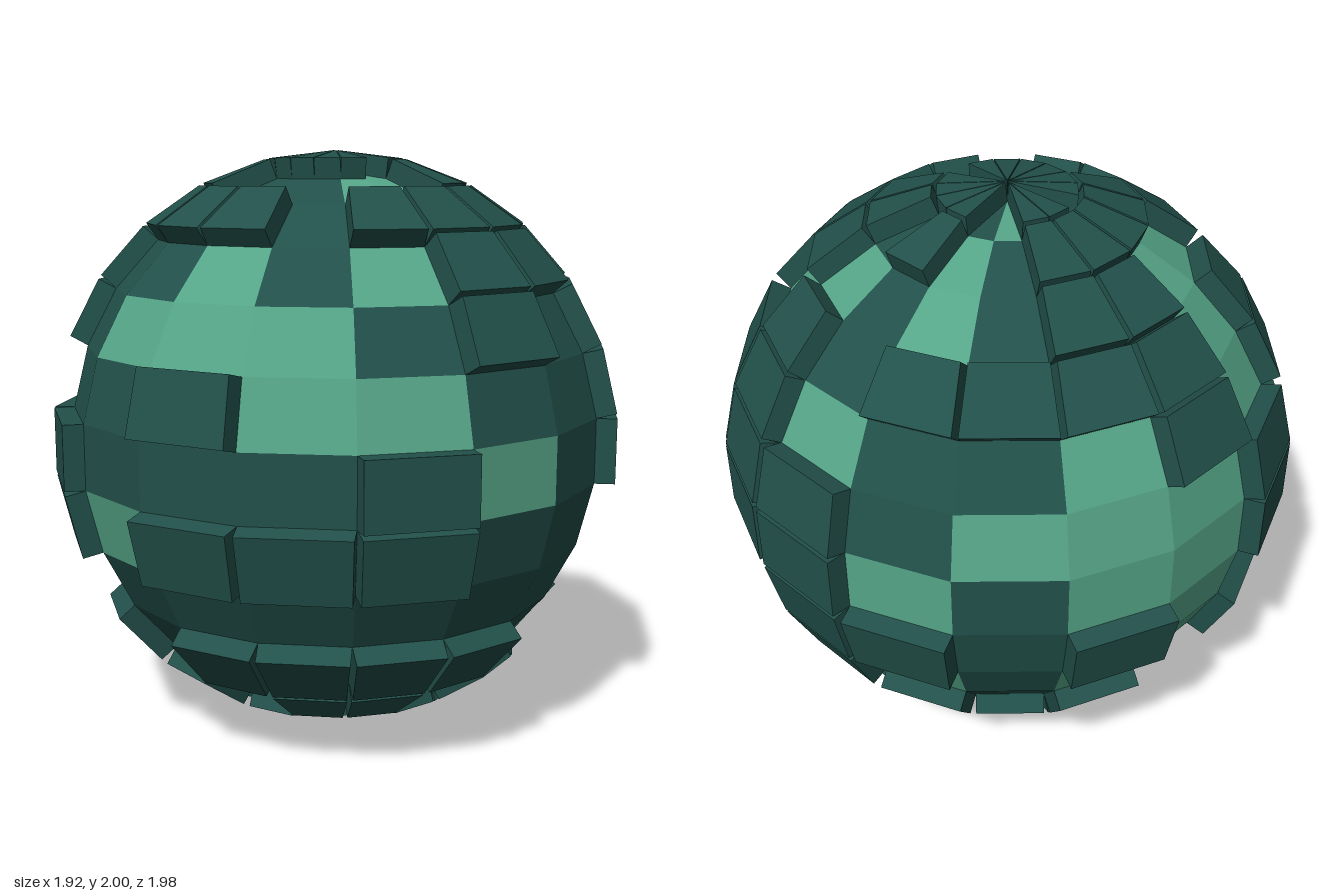
import * as THREE from 'three';

const R = 0.93;        // shell radius
const LIFT = 0.07;     // height of a raised block
const CENTRE = new THREE.Vector3(0.03, 1, 0);

// One row per latitude band, top to bottom; columns run from +z towards +x.
// R = raised dark block, D = flat dark tile, L = flat light tile
const PATTERN = [
  'RRRLRRRRDLRRLRRR',
  'DDLLRRDRLDRRRRRD',
  'RDRRRRLDLDRRLLRR',
  'LDLRRLRDRRRRLRDD',
  'LLDRDRRLDDLRLRDL',
  'RLLDDRRRDLLLRLDD',
  'DDRLDRRRLDLLRRRD',
  'RRRDDLDRRDRLDRRL',
  'DDDDDDLRLDLLRLDD',
  'RRRRDLRLRDRDDDRD',
  'DRRDRRDRDRRDRRDR',
  'RDDRRDRLRDRRDRRD',
  'RDRDRRRDRRDRRDDR',
];
const ROWS = PATTERN.length;
const COLS = PATTERN[0].length;

// Grid corner on the sphere
function corner(row, col) {
  return new THREE.Vector3().setFromSphericalCoords(
    R, (row / ROWS) * Math.PI, (col / COLS) * Math.PI * 2);
}

// Two triangles, skipping any that collapse at a pole
function addQuad(out, a, b, c, d) {
  for (const tri of [[a, b, c], [a, c, d]]) {
    const [p, q, r] = tri;
    if (p.distanceTo(q) < 1e-5 || q.distanceTo(r) < 1e-5 || r.distanceTo(p) < 1e-5) continue;
    for (const v of tri) out.push(v.x, v.y, v.z);
  }
}

// Tile face; a raised block is pushed out along its normal and given side walls
function addTile(out, row, col, lift) {
  const base = [corner(row, col), corner(row + 1, col), corner(row + 1, col + 1), corner(row, col + 1)];
  const normal = base[2].clone().sub(base[0])
    .cross(base[3].clone().sub(base[1])).normalize();
  const top = base.map((p) => p.clone().addScaledVector(normal, lift));
  addQuad(out, ...top);
  if (lift === 0) return;
  for (let i = 0; i < 4; i++) {
    const j = (i + 1) % 4;
    if (base[i].distanceTo(base[j]) > 1e-5) addQuad(out, base[i], base[j], top[j], top[i]);
  }
}

function makeMesh(name, key, color, lift) {
  const out = [];
  for (let row = 0; row < ROWS; row++) {
    for (let col = 0; col < COLS; col++) {
      if (PATTERN[row][col] === key) addTile(out, row, col, lift);
    }
  }
  const geometry = new THREE.BufferGeometry();
  geometry.setAttribute('position', new THREE.Float32BufferAttribute(out, 3));
  geometry.computeVertexNormals();
  const material = new THREE.MeshStandardMaterial({ color, flatShading: true, side: THREE.DoubleSide });
  const mesh = new THREE.Mesh(geometry, material);
  mesh.name = name;
  mesh.position.copy(CENTRE);
  return mesh;
}

export function createModel() {
  const group = new THREE.Group();
  group.name = 'panelledSphere';
  group.add(
    makeMesh('raisedBlocks', 'R', 0x22504a, LIFT),
    makeMesh('flatDarkTiles', 'D', 0x22504a, 0),
    makeMesh('flatLightTiles', 'L', 0x55a588, 0),
  );
  return group;
}
